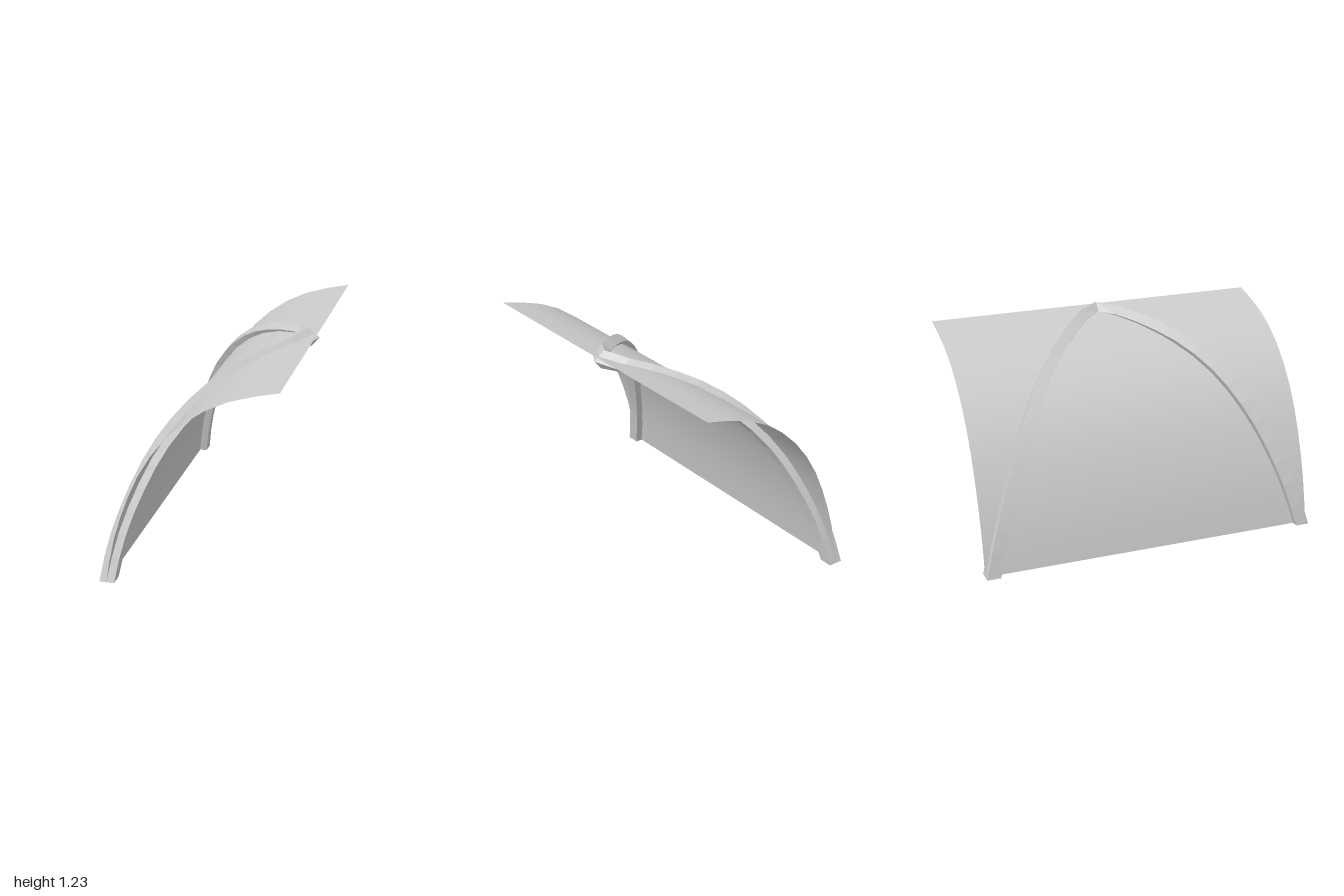
import * as THREE from 'three';

const SEGMENTS = 28;

// Curved sheet, straight along z
function makeSheet(material) {
  const profile = new THREE.CatmullRomCurve3([
    [-0.465, 0], [-0.42, 0.24], [-0.335, 0.505], [-0.233, 0.722],
    [-0.093, 0.91], [0.08, 1.055], [0.265, 1.145], [0.5, 1.205],
  ].map(([x, y]) => new THREE.Vector3(x, y, 0)));
  const geometry = new THREE.PlaneGeometry(2, 1, 1, 12);
  const pos = geometry.attributes.position;
  for (let i = 0; i < pos.count; i++) {
    const p = profile.getPointAt(Math.min(1, Math.max(0, pos.getY(i) + 0.5)));
    pos.setXYZ(i, p.x, p.y, pos.getX(i));
  }
  geometry.computeVertexNormals();
  const mesh = new THREE.Mesh(geometry, material);
  mesh.name = 'curvedSheet';
  return mesh;
}

// Four-sided rib that climbs the sheet, turns at its top edge and comes down again
function makeRib(material) {
  const half = [
    [-0.463, 0, 0.96], [-0.42, 0.235, 0.89], [-0.335, 0.5, 0.788], [-0.233, 0.718, 0.678],
    [-0.093, 0.903, 0.55], [0.08, 1.045, 0.39], [0.265, 1.13, 0.22], [0.41, 1.17, 0.08],
  ];
  const mirrored = half.map(([x, y, z]) => [x, y, -z]).reverse();
  const path = new THREE.CatmullRomCurve3(
    [...half, [0.455, 1.18, 0], ...mirrored].map((p) => new THREE.Vector3(...p)));

  const positions = [];
  const index = [];
  for (let i = 0; i <= SEGMENTS; i++) {
    const c = path.getPointAt(i / SEGMENTS);
    const t = path.getTangentAt(i / SEGMENTS);
    const u = c.y / 1.18;
    // The section leans back with height and turns with the path across the sheet
    const lean = Math.PI - THREE.MathUtils.degToRad(Math.min(48 * u, 40));
    let turn = Math.atan2(-t.z, Math.hypot(t.x, t.y) * (i <= SEGMENTS / 2 ? 1 : -1));
    if (i === 0) turn = 0;
    if (i === SEGMENTS) turn = Math.PI;
    const r = new THREE.Vector3(Math.cos(lean), Math.sin(lean), 0).multiplyScalar(0.0425);
    const l = new THREE.Vector3(
      Math.sin(lean) * Math.sin(turn), -Math.cos(lean) * Math.sin(turn), Math.cos(turn),
    ).multiplyScalar(0.04 - 0.007 * u);
    for (const [a, b] of [[1, 1], [-1, 1], [-1, -1], [1, -1]]) {
      const p = c.clone().addScaledVector(r, a).addScaledVector(l, b);
      positions.push(p.x, i % SEGMENTS === 0 ? 0 : p.y, p.z);
    }
  }
  for (let i = 0; i < SEGMENTS; i++) {
    for (let j = 0; j < 4; j++) {
      const a = i * 4 + j, b = i * 4 + (j + 1) % 4;
      index.push(a, b, b + 4, a, b + 4, a + 4);
    }
  }
  // Flat feet
  const e = SEGMENTS * 4;
  index.push(0, 2, 1, 0, 3, 2, e, e + 1, e + 2, e, e + 2, e + 3);

  const geometry = new THREE.BufferGeometry();
  geometry.setAttribute('position', new THREE.Float32BufferAttribute(positions, 3));
  geometry.setIndex(index);
  geometry.computeVertexNormals();
  const mesh = new THREE.Mesh(geometry, material);
  mesh.name = 'archRib';
  return mesh;
}

export function createModel() {
  const group = new THREE.Group();
  group.name = 'archedShelter';
  group.add(makeSheet(new THREE.MeshStandardMaterial({ color: 0xcccccc, side: THREE.DoubleSide })));
  group.add(makeRib(new THREE.MeshStandardMaterial({ color: 0xcccccc, flatShading: true })));
  return group;
}
